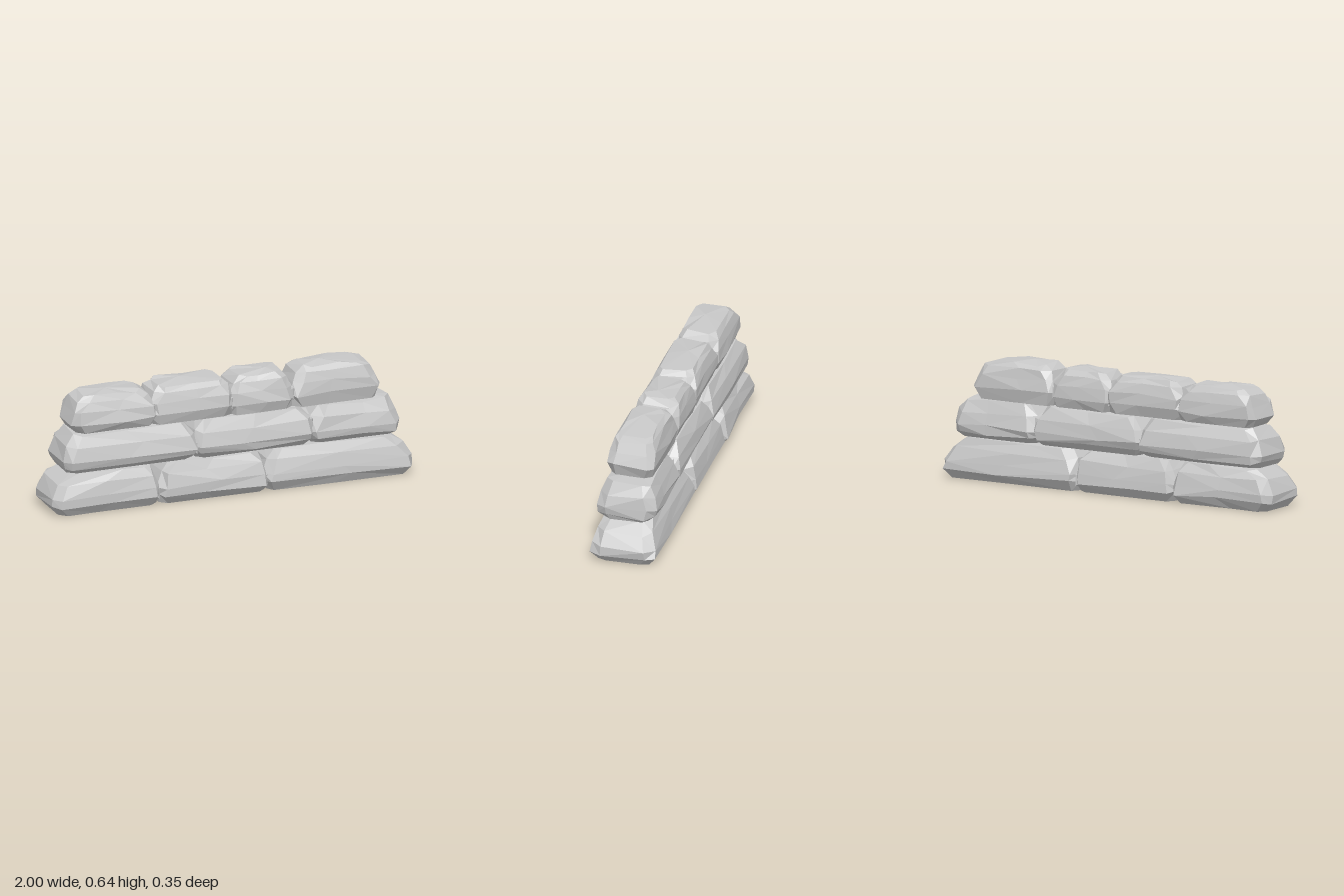
import * as THREE from 'three';

// Rows: levels are [height, half depth, end inset fraction (0 = full length, 1 = top length)]
const ROWS = [
  {
    name: 'bottomRow',
    levels: [[0, 0.135, 0.28], [0.05, 0.172, 0.06], [0.095, 0.17, 0], [0.165, 0.15, 0.36], [0.212, 0.122, 0.85]],
    top: 0.222,
    // [left end, right end, top left, top right, lift]
    stones: [[-1, -0.4, -0.86, -0.46, 0], [-0.42, 0.2, -0.33, 0.13, 0], [0.17, 1, 0.25, 0.86, 0]],
    joints: [[-0.41, 0.06, 0.145], [0.185, 0.06, 0.15]],
  },
  {
    name: 'middleRow',
    levels: [[0.22, 0.118, 0.35], [0.25, 0.152, 0.12], [0.29, 0.163, 0], [0.36, 0.145, 0.3], [0.418, 0.115, 0.85]],
    top: 0.427,
    stones: [[-0.93, -0.18, -0.85, -0.26, 0], [-0.22, 0.46, -0.13, 0.37, 0], [0.42, 0.935, 0.51, 0.87, 0]],
    joints: [[-0.2, 0.28, 0.145], [0.44, 0.33, 0.135]],
  },
  {
    name: 'topRow',
    levels: [[0.425, 0.112, 0.25], [0.48, 0.13, 0], [0.54, 0.122, 0.2], [0.59, 0.105, 0.5], [0.618, 0.085, 0.88]],
    top: 0.632,
    stones: [[-0.88, -0.4, -0.78, -0.5, -0.005], [-0.46, 0.03, -0.37, -0.05, 0],
      [-0.02, 0.36, 0.06, 0.29, 0], [0.33, 0.835, 0.42, 0.72, 0.01]],
    joints: [[-0.43, 0.5, 0.115], [0.005, 0.49, 0.118], [0.345, 0.5, 0.115]],
  },
];

// Small seeded generator returning -1..1
function seeded(seed) {
  let s = seed;
  return () => {
    s = (s * 16807) % 2147483647;
    return (s / 2147483647) * 2 - 1;
  };
}

// One stone: a stack of chamfered, slightly uneven rings closed at both ends
function stoneGeometry([left, right, topLeft, topRight, lift], levels, top, rand) {
  const rings = levels.map(([y, depth, inset], k) => {
    const x0 = left + (topLeft - left) * inset;
    const x1 = right + (topRight - right) * inset;
    const mid = (x0 + x1) / 2 + rand() * 0.12 * (x1 - x0);
    const c = 0.035 + 0.012 * rand();
    const zc = depth * 0.68;
    const plan = [
      [x1, -zc], [x1, zc], [x1 - c, depth], [mid, depth], [x0 + c, depth],
      [x0, zc], [x0, -zc], [x0 + c, -depth], [mid, -depth], [x1 - c, -depth],
    ];
    const inner = k > 0;
    return plan.map(([x, z]) => new THREE.Vector3(
      THREE.MathUtils.clamp(x + rand() * 0.01, left, right),
      y + (inner ? rand() * 0.009 + lift : 0),
      z + rand() * 0.006,
    ));
  });

  const points = [];
  const n = rings[0].length;
  const last = rings[rings.length - 1];
  const base = new THREE.Vector3((left + right) / 2, levels[0][0], 0);
  const crown = new THREE.Vector3((topLeft + topRight) / 2 + rand() * 0.08, top + lift, rand() * 0.02);
  for (let i = 0; i < n; i++) {
    const j = (i + 1) % n;
    for (let k = 0; k < rings.length - 1; k++) {
      const a = rings[k][i], b = rings[k][j], c = rings[k + 1][j], d = rings[k + 1][i];
      // Alternate the diagonal for an irregular, chiselled look
      if (rand() > 0) points.push(a, d, c, a, c, b);
      else points.push(a, d, b, b, d, c);
    }
    points.push(rings[0][i], rings[0][j], base);
    points.push(last[j], last[i], crown);
  }
  const geometry = new THREE.BufferGeometry().setFromPoints(points);
  geometry.computeVertexNormals();
  return geometry;
}

export function createModel() {
  const model = new THREE.Group();
  model.name = 'stackedWall';
  const stoneGrey = new THREE.MeshStandardMaterial({ color: 0xc8c8c8, flatShading: true });
  stoneGrey.name = 'stone grey';
  const rand = seeded(4711);

  for (const row of ROWS) {
    const group = new THREE.Group();
    group.name = row.name;
    row.stones.forEach((stone, i) => {
      const mesh = new THREE.Mesh(stoneGeometry(stone, row.levels, row.top, rand), stoneGrey);
      mesh.name = `stone${i + 1}`;
      group.add(mesh);
    });
    // Pinched lumps filling the joints between neighbouring stones
    row.joints.forEach(([x, y, depth], i) => {
      const lump = new THREE.Mesh(new THREE.IcosahedronGeometry(1, 0), stoneGrey);
      lump.name = `joint${i + 1}`;
      lump.scale.set(0.042, 0.058, depth * 1.12);
      lump.position.set(x, y, 0);
      group.add(lump);
    });
    model.add(group);
  }
  return model;
}
